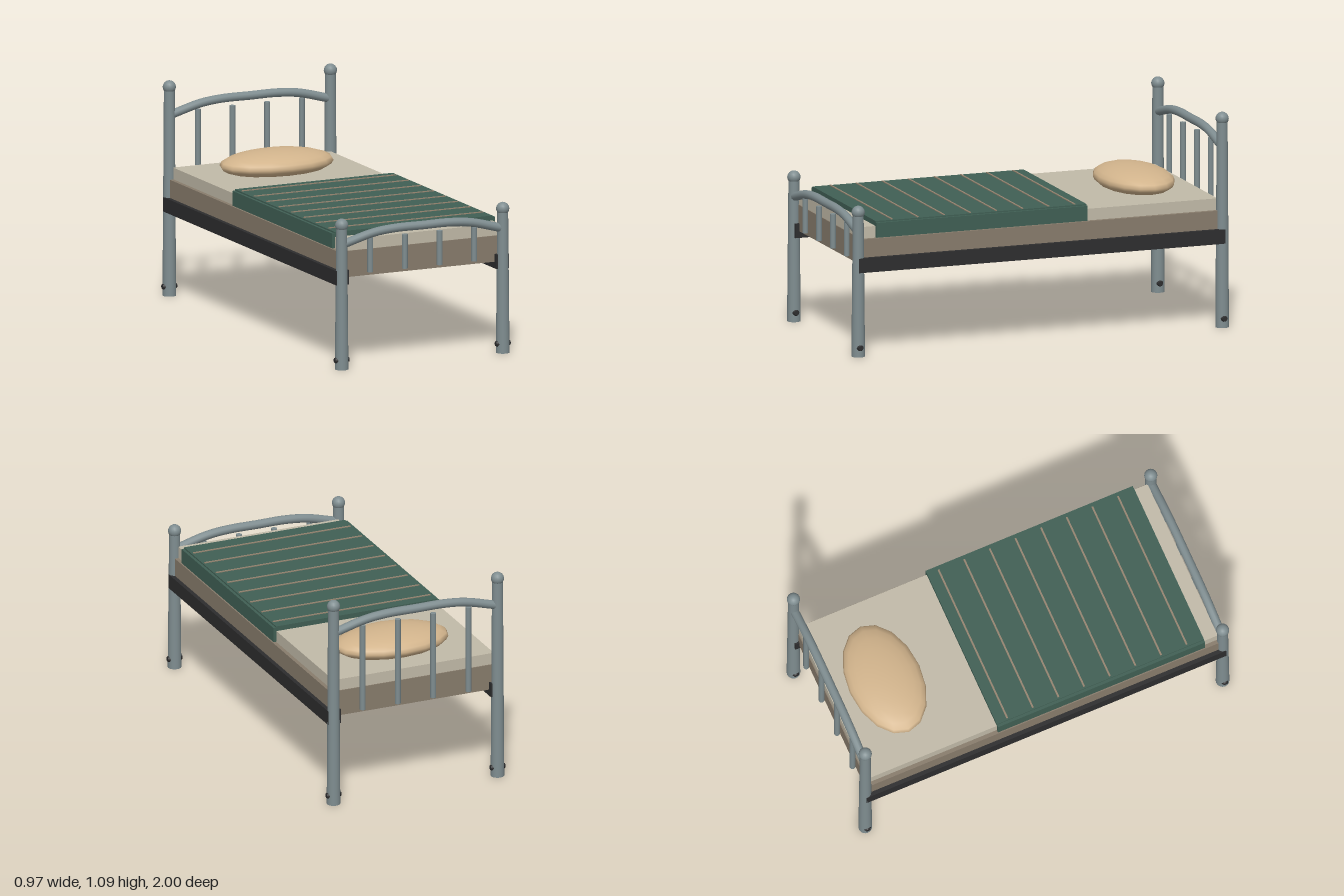
import * as THREE from 'three';

const mat = (name, color) => {
  const m = new THREE.MeshStandardMaterial({ color });
  m.name = name;
  return m;
};

export function createModel() {
  const steel = mat('grey steel', 0x7f8d90);
  const iron = mat('dark iron', 0x2d2d2e);
  const ticking = mat('brown mattress', 0x887c6c);
  const linen = mat('cream sheet', 0xc1baa8);
  const wool = mat('green blanket', 0x405f54);
  const stripe = mat('tan stripe', 0x948470);
  const cotton = mat('tan pillow', 0xd2b48c);

  const bed = new THREE.Group();
  bed.name = 'bed';

  const add = (parent, name, geometry, material, x = 0, y = 0, z = 0) => {
    const mesh = new THREE.Mesh(geometry, material);
    mesh.name = name;
    mesh.position.set(x, y, z);
    parent.add(mesh);
    return mesh;
  };
  // Box given by its size and the height of its underside and top
  const slab = (parent, name, material, w, y0, y1, d, x = 0, z = 0) =>
    add(parent, name, new THREE.BoxGeometry(w, y1 - y0, d), material, x, (y0 + y1) / 2, z);

  // Bed end: two posts with ball finials, arched rail and four spindles
  const bedEnd = (name, z, ballY, railY, spindleTop) => {
    const end = new THREE.Group();
    end.name = name;
    end.position.z = z;
    bed.add(end);

    for (const side of [-1, 1]) {
      const x = side * 0.445;
      add(end, 'post', new THREE.CylinderGeometry(0.027, 0.034, ballY, 16), steel, x, ballY / 2);
      add(end, 'finial', new THREE.SphereGeometry(0.033, 16, 12), steel, x, ballY);
      // Small bolt caps on both sides of the foot
      for (const face of [-1, 1]) {
        const cap = add(end, 'footBolt', new THREE.CylinderGeometry(0.012, 0.02, 0.014, 10),
          iron, x + face * 0.032, 0.047);
        cap.rotation.z = -face * Math.PI / 2;
      }
    }

    const arch = [[-0.428, -0.053], [-0.27, -0.012], [-0.15, 0], [0, 0], [0.15, 0], [0.27, -0.012], [0.428, -0.053]];
    const curve = new THREE.CatmullRomCurve3(arch.map(([x, y]) => new THREE.Vector3(x, railY + y, 0)));
    add(end, 'archedRail', new THREE.TubeGeometry(curve, 32, 0.022, 12), steel);

    const h = spindleTop - 0.478;
    for (const x of [-0.287, -0.096, 0.096, 0.287]) {
      add(end, 'spindle', new THREE.CylinderGeometry(0.015, 0.015, h, 10), steel, x, 0.478 + h / 2);
    }
  };
  bedEnd('footboard', 0.966, 0.73, 0.688, 0.652);
  bedEnd('headboard', -0.966, 1.057, 0.971, 0.93);

  // Side rails
  for (const side of [-1, 1]) {
    slab(bed, 'sideRail', iron, 0.069, 0.427, 0.5, 1.945, side * 0.4415);
  }

  // Mattress and sheet
  slab(bed, 'mattress', ticking, 0.91, 0.46, 0.592, 1.9);
  slab(bed, 'sheet', linen, 0.87, 0.592, 0.651, 1.89);

  // Blanket with draped sides and woven stripes
  const blanket = new THREE.Group();
  blanket.name = 'blanket';
  bed.add(blanket);
  slab(blanket, 'blanketTop', wool, 0.872, 0.645, 0.676, 1.12, 0, 0.31);
  for (const side of [-1, 1]) {
    slab(blanket, 'blanketSide', wool, 0.022, 0.594, 0.669, 1.12, side * 0.439, 0.31);
  }
  for (let i = 0; i < 8; i++) {
    slab(blanket, 'stripe', stripe, 0.854, 0.675, 0.68, 0.009, 0, -0.19 + i * 0.1386);
  }

  // Pillow
  add(bed, 'pillow', new THREE.SphereGeometry(1, 16, 12), cotton, 0, 0.69, -0.667)
    .scale.set(0.303, 0.068, 0.187);

  return bed;
}
